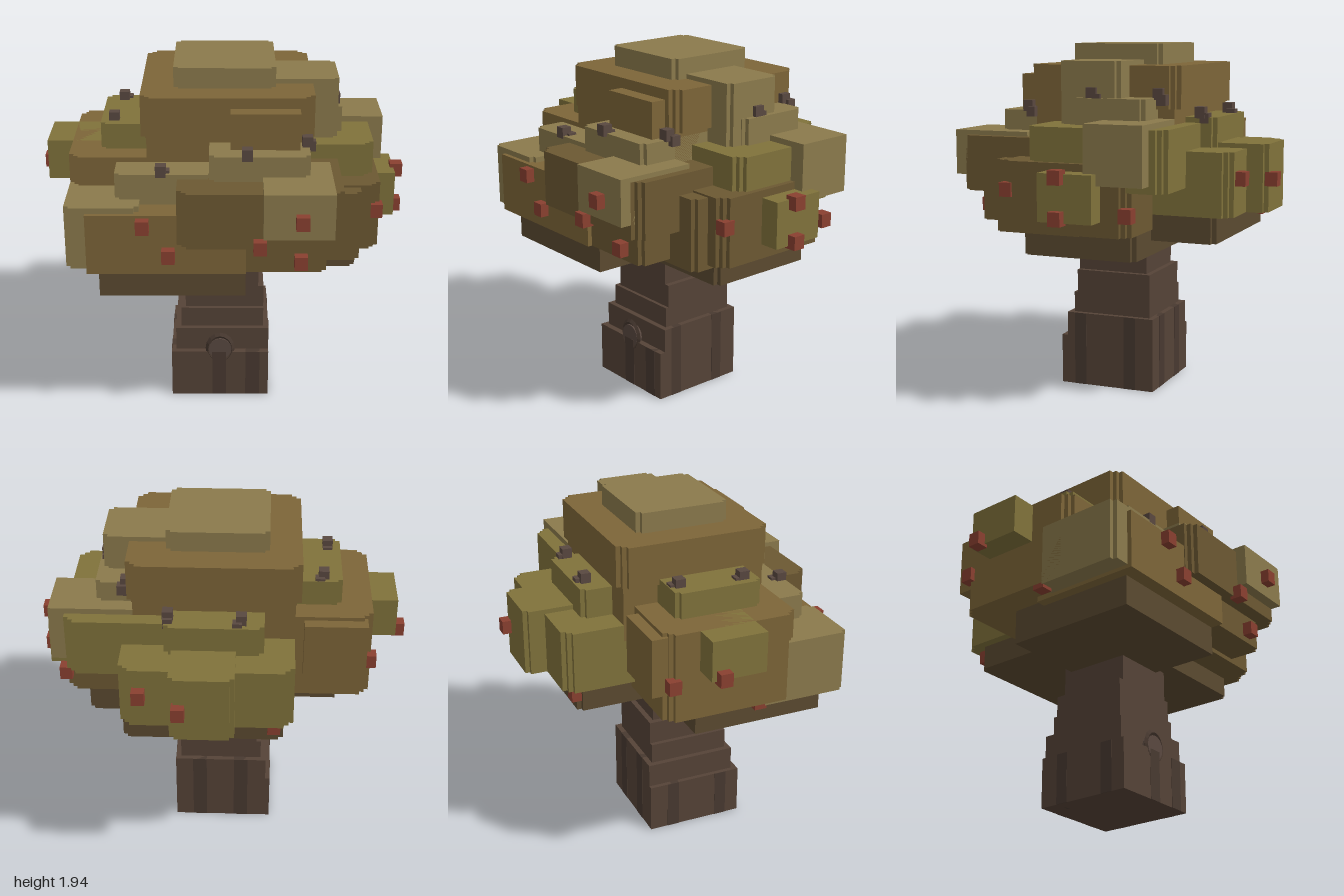
import * as THREE from 'three';

const mats = {};
const mat = (c) => (mats[c] ??= new THREE.MeshStandardMaterial({ color: c, flatShading: true }));
const LIGHT = 0x8b7a4c, OLIVE = 0x80723b, BROWN = 0x7d6538, DARK = 0x6c5832, SHADE = 0x5b4a30;
const BARK = 0x554337, BARK_DARK = 0x483930, TWIG = 0x594840, BERRY = 0x8a4030;

// Box between two limits whose upright corners are cut back in n small steps
function block(name, color, [x0, x1], [y0, y1], [z0, z1], n = 0, step = 0.025) {
  const w = (x1 - x0) / 2, d = (z1 - z0) / 2;
  let geo;
  if (n === 0) {
    geo = new THREE.BoxGeometry(2 * w, y1 - y0, 2 * d);
  } else {
    const corner = [];
    for (let i = 0; i <= n; i++) {
      corner.push([w - i * step, d - (n - i) * step]);
      if (i < n) corner.push([w - (i + 1) * step, d - (n - i) * step]);
    }
    const pts = [];
    for (const [sx, sz] of [[1, 1], [-1, 1], [-1, -1], [1, -1]]) {
      const c = corner.map(([x, z]) => new THREE.Vector2(sx * x, sz * z));
      pts.push(...(sx * sz > 0 ? c : c.reverse()));
    }
    geo = new THREE.ExtrudeGeometry(new THREE.Shape(pts), { depth: y1 - y0, bevelEnabled: false });
    geo.rotateX(-Math.PI / 2).translate(0, -(y1 - y0) / 2, 0);
  }
  const mesh = new THREE.Mesh(geo, mat(color));
  mesh.name = name;
  mesh.position.set((x0 + x1) / 2, (y0 + y1) / 2, (z0 + z1) / 2);
  return mesh;
}

function groupOf(name, children) {
  const g = new THREE.Group();
  g.name = name;
  g.add(...children);
  return g;
}

const cubes = (name, color, size, places) => places.map(([x, y, z]) => {
  const m = new THREE.Mesh(new THREE.BoxGeometry(size, size * 1.1, size), mat(color));
  m.name = name;
  m.position.set(x, y, z);
  return m;
});

export function createModel() {
  const tree = new THREE.Group();
  tree.name = 'blockTree';

  // Trunk tapering in steps, with short branch stubs under the leaves
  const trunk = [
    [[-0.29, 0.26], [0, 0.28], [-0.205, 0.35]],
    [[-0.265, 0.26], [0.28, 0.415], [-0.205, 0.315]],
    [[-0.235, 0.23], [0.415, 0.53], [-0.175, 0.285]],
    [[-0.21, 0.23], [0.53, 0.66], [-0.175, 0.265]],
    [[-0.18, 0.2], [0.66, 1.2], [-0.145, 0.265]],
  ].map((r) => block('trunkSection', BARK, ...r));
  trunk.push(block('branchStub', BARK, [0.1, 0.23], [0.75, 0.9], [-0.035, 0.155]));

  // Darker bark streaks lying on the trunk faces
  for (const x of [-0.06, 0.13]) trunk.push(block('barkStreak', BARK_DARK, [x, x + 0.08], [0, 0.28], [0.3, 0.352]));
  for (const z of [-0.1, 0.2]) {
    trunk.push(block('barkStreak', BARK_DARK, [0.2, 0.262], [0, 0.415], [z, z + 0.07]));
    trunk.push(block('barkStreak', BARK_DARK, [-0.292, -0.2], [0, 0.28], [z, z + 0.07]));
  }
  for (const x of [-0.16, 0.08]) trunk.push(block('barkStreak', BARK_DARK, [x, x + 0.08], [0, 0.415], [-0.207, -0.15]));

  // Knot on the front of the trunk
  const knot = new THREE.Mesh(new THREE.CylinderGeometry(0.065, 0.065, 0.04, 16), mat(TWIG));
  const ring = new THREE.Mesh(new THREE.TorusGeometry(0.068, 0.015, 4, 16), mat(BARK_DARK));
  knot.rotation.x = Math.PI / 2;
  knot.position.set(-0.015, 0.3, 0.331);
  ring.position.set(-0.015, 0.3, 0.34);
  ring.scale.set(1, 1.2, 0.8);
  knot.name = 'knot';
  ring.name = 'knotRing';
  tree.add(groupOf('trunk', [...trunk, knot, ring]));

  // Foliage: colour, x range, y range, z range, corner steps
  const leaves = {
    crown: [
      [LIGHT, [-0.26, 0.28], [1.8, 1.935], [-0.26, 0.26], 1],
      [BROWN, [-0.43, 0.48], [1.6, 1.825], [-0.43, 0.425], 2],
      [BROWN, [0.04, 0.4], [1.55, 1.77], [0.2, 0.51], 0],
      [LIGHT, [0.2, 0.62], [1.5, 1.85], [-0.16, 0.18], 1],
      [LIGHT, [0.2, 0.65], [1.3, 1.66], [-0.31, 0.1], 1],
      [BROWN, [-0.4, 0.45], [1.3, 1.62], [-0.4, 0.4], 0],
    ],
    middle: [
      [OLIVE, [-0.65, -0.1], [1.4, 1.63], [-0.21, 0.27], 1],
      [LIGHT, [-0.56, -0.05], [1.2, 1.465], [0.2, 0.58], 1],
      [LIGHT, [-0.07, 0.45], [1.25, 1.575], [0.15, 0.61], 1],
      [OLIVE, [-0.24, 0.28], [1.2, 1.55], [-0.57, -0.1], 1],
      [OLIVE, [0.1, 0.81], [1.2, 1.52], [-0.485, 0.285], 2],
      [LIGHT, [0.4, 0.895], [1.24, 1.55], [-0.4, -0.08], 0],
    ],
    leftSide: [
      [DARK, [0, 0.84], [0.97, 1.34], [-0.3, 0.42], 2],
      [DARK, [0.3, 0.73], [0.945, 1.33], [0, 0.51], 1],
      [OLIVE, [0.5, 0.95], [1.05, 1.3], [-0.15, 0.15], 0],
    ],
    rightSide: [
      [BROWN, [-0.815, -0.05], [1.0, 1.49], [-0.34, 0.4], 2],
      [BROWN, [-0.785, -0.45], [1.15, 1.47], [-0.405, 0.1], 0],
      [OLIVE, [-0.955, -0.5], [1.27, 1.49], [-0.155, 0.15], 0],
      [LIGHT, [-0.815, -0.43], [0.99, 1.33], [0.2, 0.7], 1],
    ],
    front: [
      [BROWN, [-0.705, 0.12], [0.97, 1.3], [0.1, 0.725], 0],
      [DARK, [0.05, 0.54], [0.97, 1.22], [0.1, 0.7], 1],
      [DARK, [-0.235, 0.615], [1.14, 1.44], [0.1, 0.78], 2],
      [LIGHT, [0.205, 0.565], [1.22, 1.465], [0.4, 0.84], 0],
    ],
    back: [
      [OLIVE, [-0.4, 0.505], [1.05, 1.39], [-0.73, 0], 2],
      [OLIVE, [-0.095, 0.24], [1.05, 1.415], [-0.845, -0.4], 1],
    ],
    underside: [
      [SHADE, [-0.65, 0.12], [0.805, 1.05], [-0.1, 0.65], 0],
      [SHADE, [0.05, 0.725], [0.83, 1.05], [-0.29, 0.35], 1],
      [SHADE, [-0.35, 0.5], [0.91, 1.1], [-0.645, 0.1], 1],
    ],
  };
  const foliage = Object.entries(leaves).map(([part, rows]) =>
    groupOf(part + 'Leaves', rows.map((r) => block(part + 'LeafBlock', ...r))));
  tree.add(groupOf('foliage', foliage));

  // Small red berries around the sides
  tree.add(groupOf('berries', cubes('berry', BERRY, 0.068, [
    [-0.41, 1.25, 0.74], [-0.28, 1.085, 0.74], [0.19, 1.16, 0.795], [0.4, 1.325, 0.855],
    [0.405, 1.04, 0.72], [0.82, 1.19, 0.385], [0.965, 1.285, 0.035], [0.965, 1.075, 0.035],
    [0.84, 1.09, -0.295], [0.19, 1.23, -0.86], [0.4, 1.25, -0.75], [0.2, 1.12, -0.75],
    [-0.3, 1.0, -0.64], [-0.97, 1.29, -0.095], [-0.81, 1.21, -0.3], [-0.78, 1.01, 0.2],
  ])));

  // Twig nubs poking out of the upper leaves, each a pair of cubes
  tree.add(groupOf('twigs', [
    [-0.55, 1.645, -0.155], [-0.58, 1.645, 0.19], [-0.32, 1.48, 0.555], [0.125, 1.59, 0.605],
    [0.44, 1.6, 0.445], [0.615, 1.685, -0.01], [0.485, 1.68, -0.33], [0.26, 1.575, -0.48], [-0.12, 1.575, -0.51],
  ].map(([x, y, z], i) => groupOf('twig', [
    ...cubes('twigTip', TWIG, 0.055, [[x, y, z]]),
    ...cubes('twigBase', TWIG, 0.05, [[x + (i % 2 ? 0 : 0.02), y - 0.03, z - 0.025]]),
  ]))));

  return tree;
}
